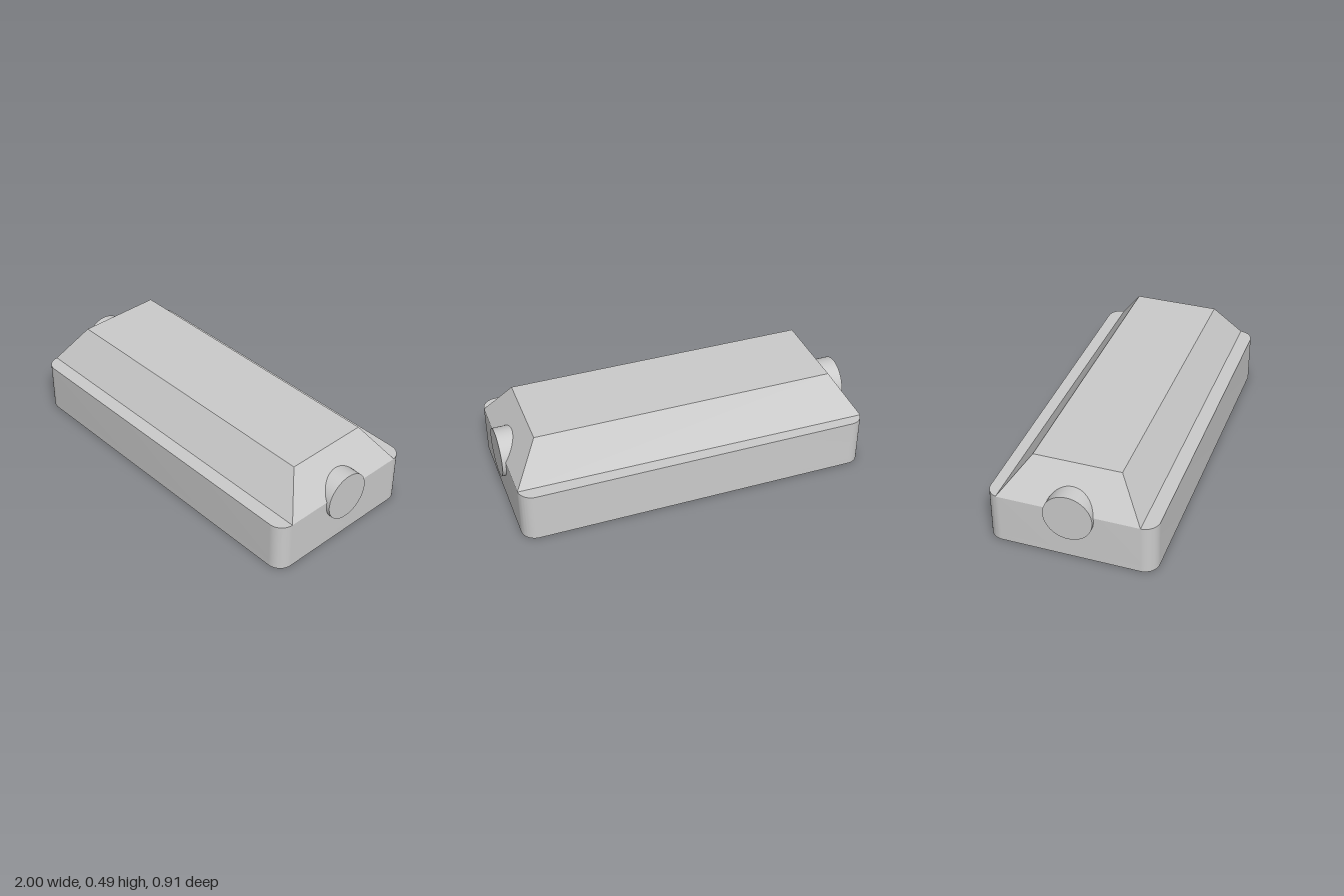
import * as THREE from 'three';
import { toCreasedNormals } from 'three/addons/utils/BufferGeometryUtils.js';

const HALF_X = 0.98, HALF_Z = 0.457, CORNER = 0.08;
const BASE_TOP = 0.28, ROOF_TOP = 0.49, RECESS = 0.035, RIM = 0.04;

// Traces a rounded rectangle centred on the origin
function roundedRect(path, hx, hy, r) {
  path.moveTo(hx, -hy + r);
  path.absarc(hx - r, hy - r, r, 0, Math.PI / 2);
  path.absarc(-hx + r, hy - r, r, Math.PI / 2, Math.PI);
  path.absarc(-hx + r, -hy + r, r, Math.PI, Math.PI * 1.5);
  path.absarc(hx - r, -hy + r, r, Math.PI * 1.5, Math.PI * 2);
  return path;
}

// Extrudes a plan shape upwards from y0 to y1
function slab(shape, y0, y1) {
  const geo = new THREE.ExtrudeGeometry(shape, { depth: y1 - y0, bevelEnabled: false, curveSegments: 8 });
  geo.rotateX(-Math.PI / 2).translate(0, y0, 0);
  return toCreasedNormals(geo, Math.PI / 5);
}

// Box tapered into a hipped roof; its back eave runs slightly askew
function hippedRoof() {
  const geo = new THREE.BoxGeometry(2, 2, 2);
  const p = geo.attributes.position;
  for (let i = 0; i < p.count; i++) {
    const x = p.getX(i), z = p.getZ(i);
    if (p.getY(i) > 0) p.setXYZ(i, x * 0.84, ROOF_TOP, z * 0.238);
    else p.setXYZ(i, x * HALF_X, BASE_TOP, z > 0 ? 0.378 : -0.39 + x * 0.006);
  }
  geo.computeVertexNormals();
  return geo;
}

export function createModel() {
  const model = new THREE.Group();
  const smooth = new THREE.MeshStandardMaterial({ color: 0xcccccc });
  const flat = new THREE.MeshStandardMaterial({ color: 0xcccccc, flatShading: true });
  const add = (name, geo, mat) => {
    const mesh = new THREE.Mesh(geo, mat);
    mesh.name = name;
    model.add(mesh);
    return mesh;
  };

  // Base block with rounded vertical corners
  const outline = roundedRect(new THREE.Shape(), HALF_X, HALF_Z, CORNER);
  add('base', slab(outline, RECESS, BASE_TOP), smooth);

  // Thin rim around the recessed underside
  const rim = roundedRect(new THREE.Shape(), HALF_X, HALF_Z, CORNER);
  rim.holes.push(roundedRect(new THREE.Path(), HALF_X - RIM, HALF_Z - RIM, CORNER - RIM));
  add('bottomRim', slab(rim, 0, RECESS), smooth);

  // Sloped cover
  add('roof', hippedRoof(), flat);

  // Round stub at each end
  for (const side of [-1, 1]) {
    const stub = add(side > 0 ? 'leftStub' : 'rightStub',
      new THREE.CylinderGeometry(0.133, 0.133, 0.3, 48).rotateZ(Math.PI / 2), smooth);
    stub.position.set(side * 0.85, 0.258, 0);
  }
  return model;
}
